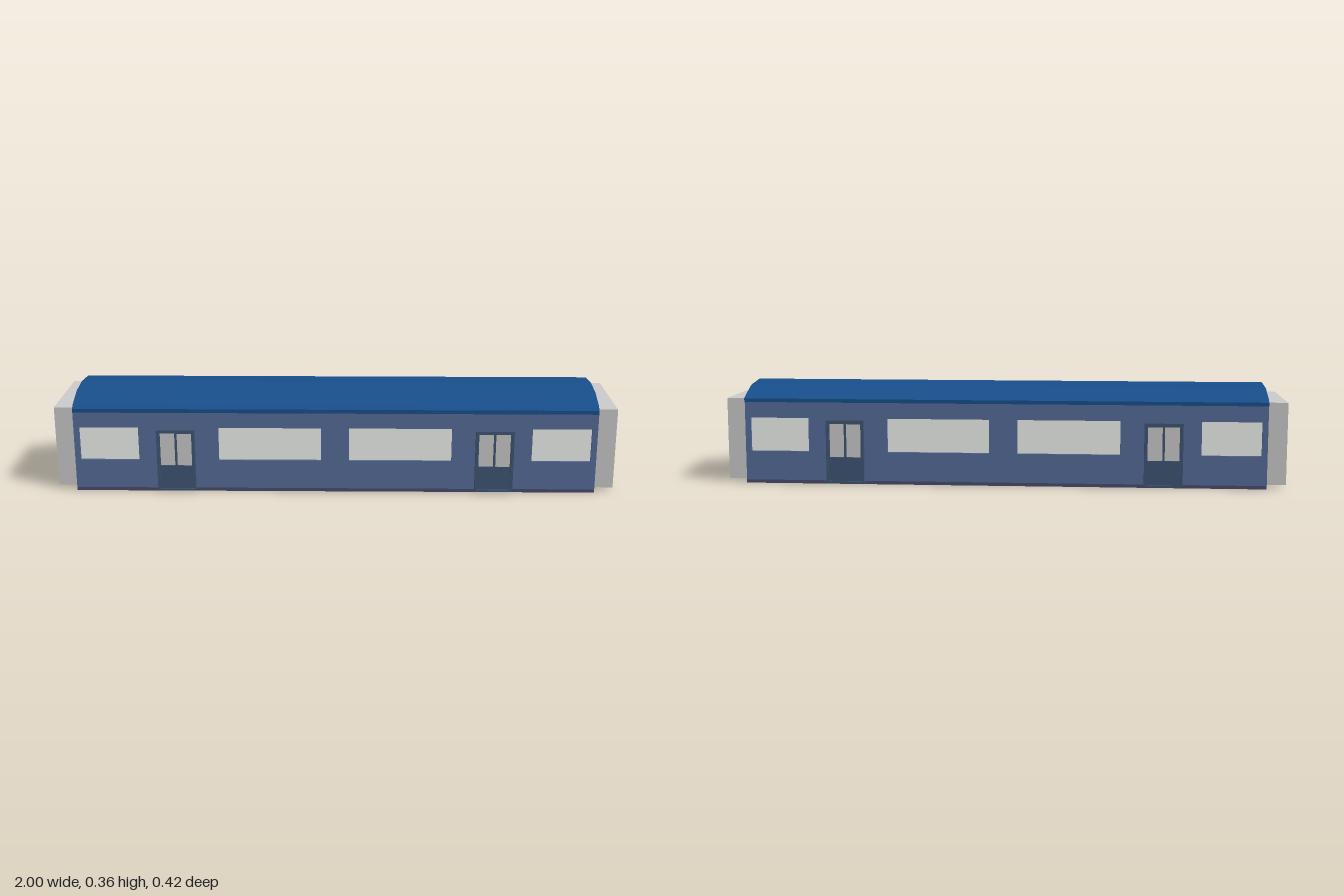
import * as THREE from 'three';

const mat = (color) => new THREE.MeshStandardMaterial({ color, flatShading: true, side: THREE.DoubleSide });

const HALF = 0.93;   // half length of the body
const SIDE = 0.195;  // half width of the body

export function createModel() {
  const model = new THREE.Group();
  model.name = 'railCarriage';
  const wallMat = mat(0x566c9a), roofMat = mat(0x184f8c), doorMat = mat(0x3e5675);
  const floorMat = mat(0x4b4b6c), glassMat = mat(0xf0f4ee), greyMat = mat(0xcccccc);

  const add = (parent, name, geometry, material) => {
    const mesh = new THREE.Mesh(geometry, material);
    mesh.name = name;
    parent.add(mesh);
    return mesh;
  };
  // Box given by its limits on each axis
  const box = (parent, name, material, x0, x1, y0, y1, z0, z1) => {
    const mesh = add(parent, name, new THREE.BoxGeometry(x1 - x0, y1 - y0, z1 - z0), material);
    mesh.position.set((x0 + x1) / 2, (y0 + y1) / 2, (z0 + z1) / 2);
    return mesh;
  };
  const rect = (x0, x1, y0, y1, Type = THREE.Shape) => {
    const s = new Type();
    s.moveTo(x0, y0);
    s.lineTo(x1, y0);
    s.lineTo(x1, y1);
    s.lineTo(x0, y1);
    s.closePath();
    return s;
  };
  const roundedRect = (x0, x1, y0, y1, r) => {
    const s = new THREE.Shape();
    s.absarc(x1 - r, y0 + r, r, -Math.PI / 2, 0);
    s.absarc(x1 - r, y1 - r, r, 0, Math.PI / 2);
    s.absarc(x0 + r, y1 - r, r, Math.PI / 2, Math.PI);
    s.absarc(x0 + r, y0 + r, r, Math.PI, Math.PI * 1.5);
    s.closePath();
    return s;
  };
  const extrude = (shape, depth) =>
    new THREE.ExtrudeGeometry(shape, { depth, bevelEnabled: false, curveSegments: 4 });

  // Floor slab
  box(model, 'floor', floorMat, -HALF, HALF, 0, 0.012, -SIDE, SIDE);

  // Roof: faceted arch running the whole length
  const roofShape = new THREE.Shape([
    [-0.195, 0.293], [-0.195, 0.307], [-0.178, 0.32], [-0.105, 0.347], [-0.013, 0.357],
    [0.1, 0.347], [0.175, 0.32], [0.2, 0.308], [0.2, 0.295], [0.184, 0.295],
    [0.184, 0.3], [-0.184, 0.3], [-0.184, 0.293],
  ].map(([x, y]) => new THREE.Vector2(x, y)));
  const roof = add(model, 'roof', extrude(roofShape, 2 * HALF), roofMat);
  roof.rotation.y = Math.PI / 2;
  roof.position.x = -HALF;

  // Side walls with recessed windows and sliding doors
  const windows = [[-0.91, -0.7], [-0.415, -0.05], [0.05, 0.415], [0.7, 0.91]];
  for (const [sideName, turn] of [['front', 0], ['back', Math.PI]]) {
    const side = new THREE.Group();
    side.name = sideName + 'Side';
    side.rotation.y = turn;
    model.add(side);

    const wallShape = rect(-HALF, HALF, 0.012, 0.3);
    for (const [a, b] of windows) wallShape.holes.push(rect(a, b, 0.117, 0.238, THREE.Path));
    add(side, 'sideWall', extrude(wallShape, 0.022), wallMat).position.z = SIDE - 0.022;
    for (const [a, b] of windows) box(side, 'windowPane', glassMat, a, b, 0.117, 0.238, 0.181, 0.186);

    for (const x of [-0.567, 0.567]) {
      const door = new THREE.Group();
      door.name = 'sideDoor';
      door.position.x = x;
      side.add(door);
      const frameShape = rect(-0.068, 0.068, 0.005, 0.232);
      frameShape.holes.push(rect(-0.06, 0.06, 0.012, 0.222, THREE.Path));
      add(door, 'doorFrame', extrude(frameShape, 0.016), doorMat).position.z = 0.192;
      for (const s of [-1, 1]) {
        const leafShape = rect(-0.03, 0.03, 0.012, 0.222);
        leafShape.holes.push(rect(-0.026, 0.026, 0.098, 0.218, THREE.Path));
        add(door, 'doorLeaf', extrude(leafShape, 0.008), doorMat).position.set(s * 0.03, 0, 0.194);
        box(door, 'doorPane', greyMat, s * 0.03 - 0.026, s * 0.03 + 0.026, 0.098, 0.218, 0.194, 0.198);
      }
    }
  }

  // Ends: wall, door and gangway connector, built facing +z then turned to face along x
  for (const [endName, turn] of [['left', Math.PI / 2], ['right', -Math.PI / 2]]) {
    const end = new THREE.Group();
    end.name = endName + 'End';
    end.rotation.y = turn;
    model.add(end);

    box(end, 'endWall', wallMat, -SIDE + 0.001, SIDE - 0.001, 0.012, 0.3, HALF - 0.02, HALF - 0.001);

    // Connector is an open-bottomed arch around the doorway
    const arch = new THREE.Shape([
      [-0.172, 0.012], [-0.068, 0.012], [-0.068, 0.277], [0.068, 0.277],
      [0.068, 0.012], [0.172, 0.012], [0.172, 0.305], [-0.172, 0.305],
    ].map(([x, y]) => new THREE.Vector2(x, y)));
    add(end, 'gangway', extrude(arch, 0.07), greyMat).position.z = HALF;

    box(end, 'endDoorFrame', greyMat, -0.068, 0.068, 0.012, 0.277, HALF - 0.002, HALF + 0.002);
    box(end, 'endDoor', doorMat, -0.062, 0.062, 0.012, 0.272, HALF - 0.002, HALF + 0.005);
    const pane = roundedRect(-0.055, 0.055, 0.11, 0.264, 0.012);
    add(end, 'endDoorPane', extrude(pane, 0.003), greyMat).position.z = HALF + 0.004;
  }
  return model;
}
